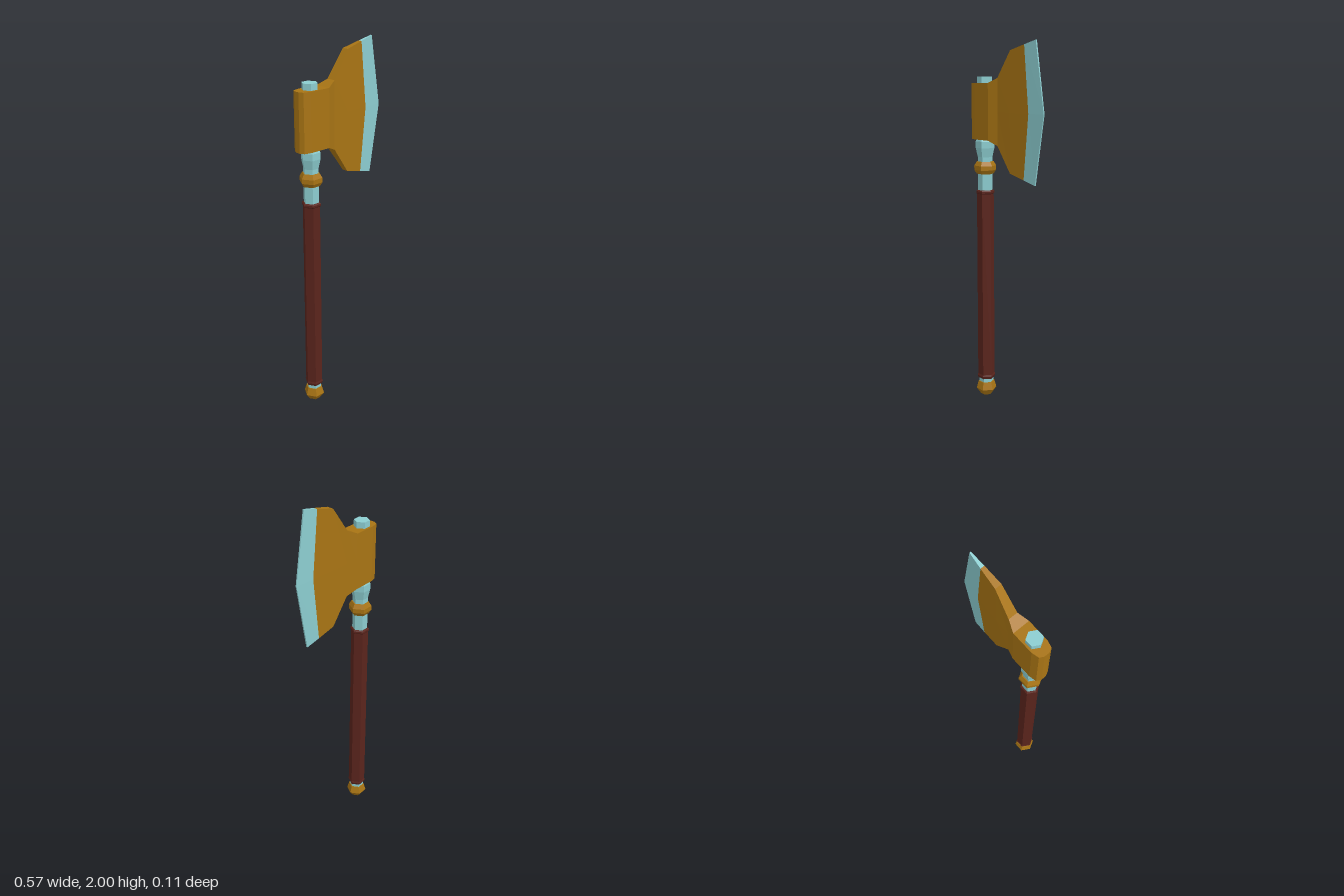
import * as THREE from 'three';

const mat = (color) => new THREE.MeshStandardMaterial({ color, flatShading: true });
const AXIS_X = -0.202; // handle axis
const HEAD_Y = 1.637;  // middle of the axe head

// Six-sided turned part from [radius, y] pairs listed bottom to top, closed at both ends
function turned(name, profile, material) {
  const closed = [[0, profile[0][1]], ...profile, [0, profile.at(-1)[1]]];
  const points = closed.map(([r, y]) => new THREE.Vector2(r, y));
  const mesh = new THREE.Mesh(new THREE.LatheGeometry(points, 6, Math.PI / 2), material);
  mesh.name = name;
  mesh.position.x = AXIS_X;
  return mesh;
}

// Solid lofted along x; each section is [x at tips, x at middle, half height, z at tips, z at middle]
function loft(name, sections, material) {
  const rings = sections.map(([xt, xm, h, zt, zm]) => [
    [xt, HEAD_Y + h, zt], [xm, HEAD_Y, zm], [xt, HEAD_Y - h, zt],
    [xt, HEAD_Y - h, -zt], [xm, HEAD_Y, -zm], [xt, HEAD_Y + h, -zt],
  ]);
  const pos = [];
  const quad = (a, b, c, d) => pos.push(...a, ...b, ...c, ...a, ...c, ...d);
  for (let s = 0; s < rings.length - 1; s++) {
    const a = rings[s], b = rings[s + 1];
    for (let i = 0; i < 6; i++) {
      const j = (i + 1) % 6;
      quad(a[i], a[j], b[j], b[i]);
    }
  }
  const f = rings[0], l = rings.at(-1);
  quad(f[0], f[5], f[4], f[1]);
  quad(f[1], f[4], f[3], f[2]);
  quad(l[0], l[1], l[4], l[5]);
  quad(l[1], l[2], l[3], l[4]);
  const geo = new THREE.BufferGeometry();
  geo.setAttribute('position', new THREE.Float32BufferAttribute(pos, 3));
  geo.computeVertexNormals();
  const mesh = new THREE.Mesh(geo, material);
  mesh.name = name;
  return mesh;
}

export function createModel() {
  const gold = mat(0xa87414), steel = mat(0x8ccdd0), leather = mat(0x5a241c);
  const group = new THREE.Group();
  group.name = 'axe';

  // Handle, from the pommel up
  group.add(
    turned('pommel', [[0.033, 0], [0.058, 0.035], [0.046, 0.078]], gold),
    turned('shaft', [[0.041, 0.07], [0.041, 1.39], [0.052, 1.44], [0.052, 1.475],
      [0.041, 1.5], [0.041, 1.822]], steel),
    turned('grip', [[0.046, 0.1], [0.052, 0.115], [0.048, 0.125], [0.047, 1.185],
      [0.051, 1.19], [0.051, 1.2], [0.045, 1.206]], leather),
    turned('collar', [[0.047, 1.297], [0.061, 1.318], [0.061, 1.342], [0.047, 1.365]], gold),
  );

  // Head: rounded socket flaring into a thin wedge
  group.add(
    loft('head', [
      [-0.285, -0.285, 0.152, 0.014, 0.014],
      [-0.273, -0.273, 0.152, 0.037, 0.037],
      [-0.235, -0.235, 0.152, 0.046, 0.046],
      [-0.115, -0.115, 0.152, 0.046, 0.046],
      [-0.06, -0.06, 0.178, 0.025, 0.025],
      [0.037, 0.037, 0.317, 0.018, 0.02],
      [0.14, 0.175, 0.343, 0.011, 0.011],
    ], gold),
    // Cutting edge, longest at its middle
    loft('blade', [
      [0.14, 0.175, 0.343, 0.011, 0.011],
      [0.22, 0.283, 0.363, 0.004, 0.003],
    ], steel),
  );
  return group;
}
